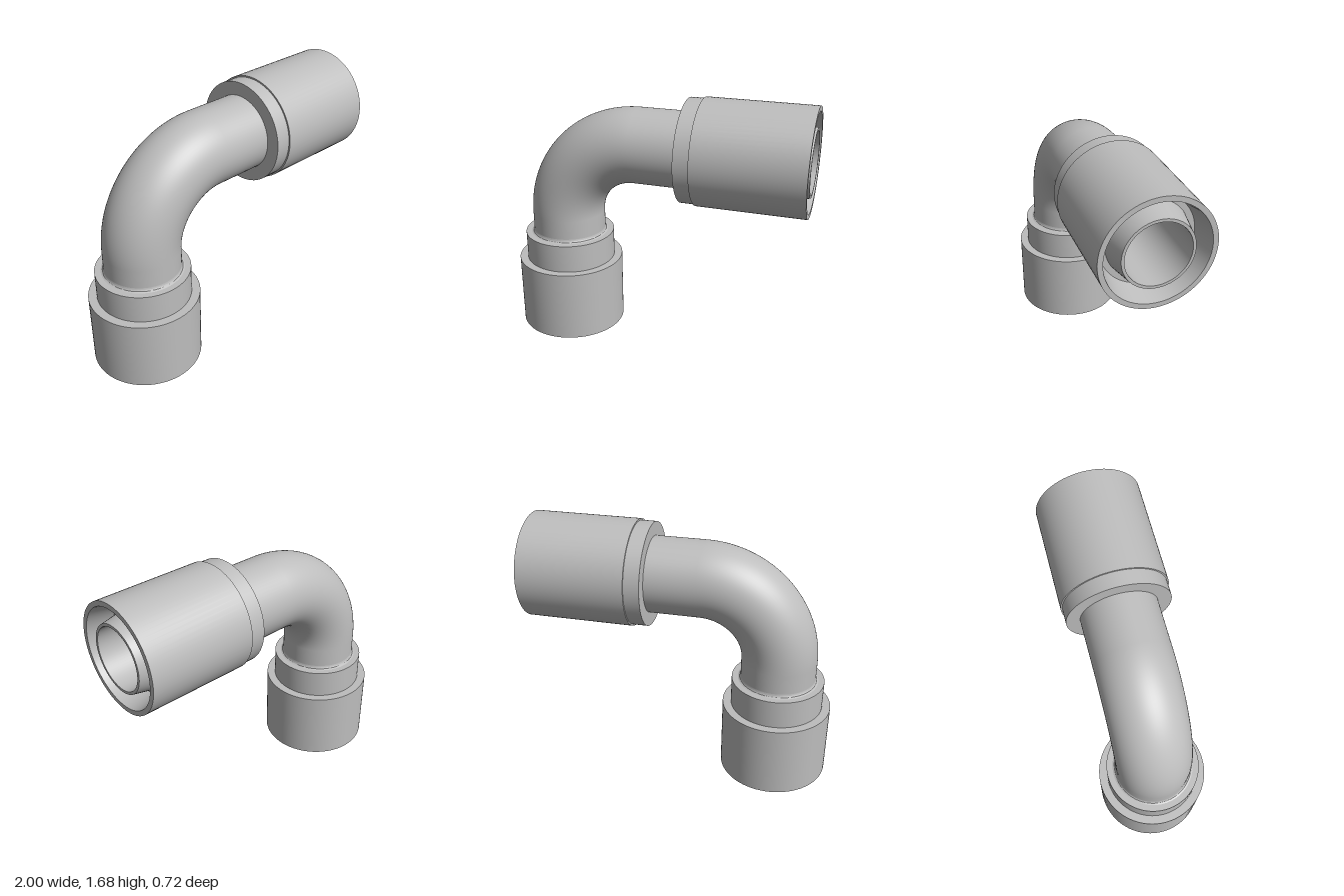
import * as THREE from 'three';
import { toCreasedNormals } from 'three/addons/utils/BufferGeometryUtils.js';

const SIDES = 72;
const AXIS_X = -0.64, AXIS_Y = 1.335;   // centre lines of the two ends
const BEND = 0.51;                      // bend radius of the centre line
const PIPE_R = 0.247, BORE_R = 0.196;

export function createModel() {
  const group = new THREE.Group();
  const steel = new THREE.MeshStandardMaterial({ color: 0xbdbdbd, side: THREE.DoubleSide });
  steel.name = 'light grey metal';

  const add = (name, geometry, x = 0, y = 0) => {
    const mesh = new THREE.Mesh(geometry, steel);
    mesh.name = name;
    mesh.position.set(x, y, 0);
    group.add(mesh);
    return mesh;
  };

  // Closed turned profile: outside going up, inside coming back down
  const turned = (profile) => {
    const points = [...profile, profile[0]].map(([r, y]) => new THREE.Vector2(r, y));
    return toCreasedNormals(new THREE.LatheGeometry(points, SIDES), 0.4);
  };

  // Bottom socket with stepped collar and a small fillet against the pipe
  add('bottomSocket', turned([
    [0.347, 0], [0.36, 0], [0.36, 0.485], [0.305, 0.485], [0.305, 0.675],
    [0.265, 0.675], [0.254, 0.68], [0.249, 0.688], [PIPE_R, 0.7],
    [BORE_R, 0.7], [BORE_R, 0.3], [0.235, 0.235], [0.235, 0.18], [0.347, 0.18],
  ]), AXIS_X, 0);

  // Side sleeve with a tapered recess around a flush conical nose
  const sleeve = add('sideSleeve', turned([
    [BORE_R, 0.2], [0.335, 0.2], [0.335, 0.3], [0.345, 0.3], [0.345, 1],
    [0.313, 1], [0.28, 0.84], [0.245, 0.84], [0.214, 1], [BORE_R, 1],
  ]), 0, AXIS_Y);
  sleeve.rotation.z = -Math.PI / 2;

  // Hollow elbow pipe: outer and inner walls
  const cx = AXIS_X + BEND, cy = AXIS_Y - BEND;
  for (const [wall, r] of [['outer', PIPE_R], ['inner', BORE_R]]) {
    const bend = new THREE.TorusGeometry(BEND, r, SIDES, 48, Math.PI / 2);
    add(wall + 'Bend', bend.rotateZ(Math.PI / 2), cx, cy);

    const y0 = 0.69, rise = cy - y0;
    add(wall + 'Riser', new THREE.CylinderGeometry(r, r, rise, SIDES, 1, true), AXIS_X, y0 + rise / 2);

    const run = 0.2 - cx;
    const arm = new THREE.CylinderGeometry(r, r, run, SIDES, 1, true).rotateZ(-Math.PI / 2);
    add(wall + 'Arm', arm, cx + run / 2, AXIS_Y);
  }
  return group;
}
